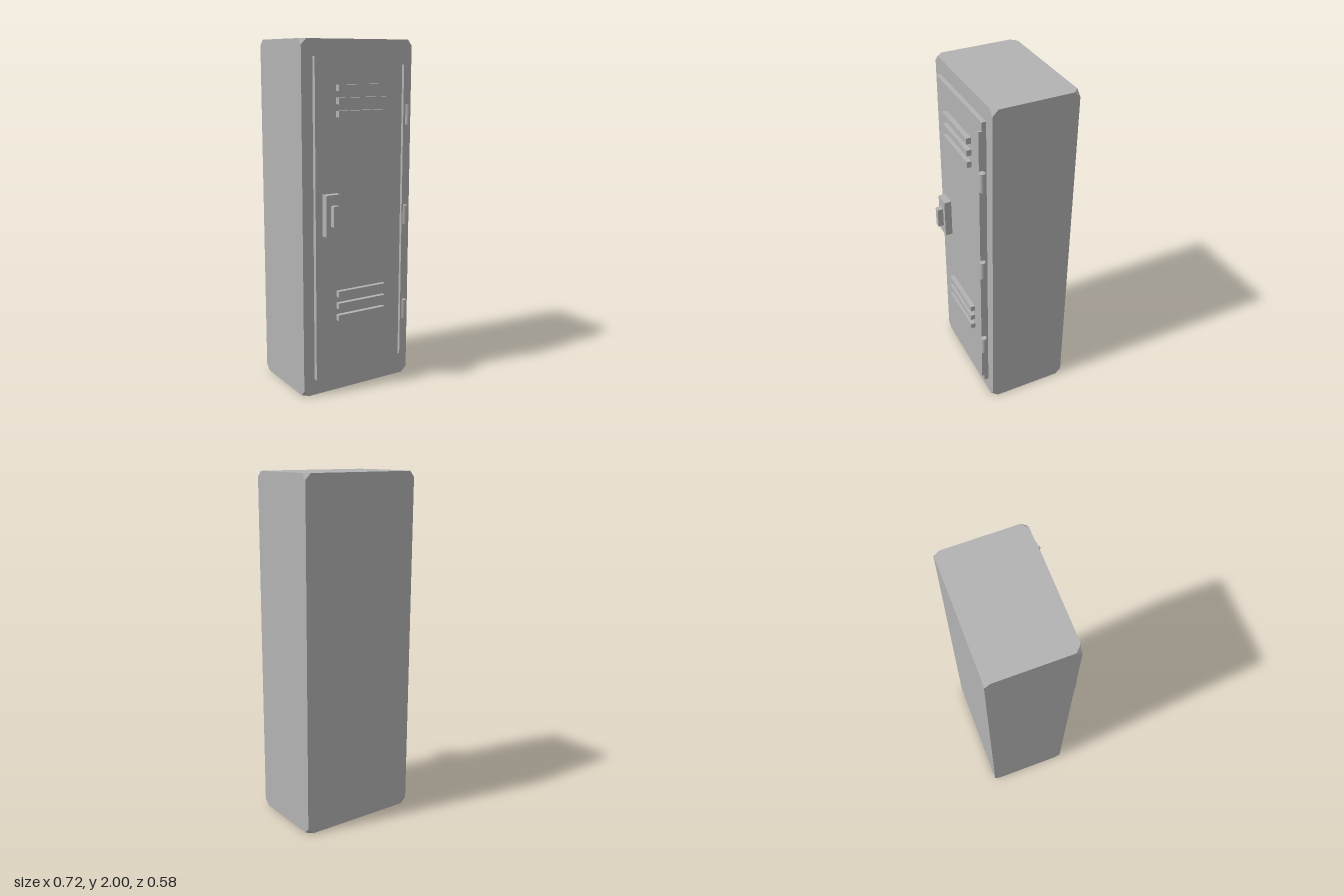
import * as THREE from 'three';
import { ConvexGeometry } from 'three/addons/geometries/ConvexGeometry.js';

// Box between two corners with its eight vertices cut off by a distance c
function cutCornerBox([x0, y0, z0], [x1, y1, z1], c) {
  const points = [];
  for (const [x, sx] of [[x0, 1], [x1, -1]])
    for (const [y, sy] of [[y0, 1], [y1, -1]])
      for (const [z, sz] of [[z0, 1], [z1, -1]])
        points.push(
          new THREE.Vector3(x + sx * c, y, z),
          new THREE.Vector3(x, y + sy * c, z),
          new THREE.Vector3(x, y, z + sz * c)
        );
  return new ConvexGeometry(points);
}

// Plain box between two corners
function box([x0, y0, z0], [x1, y1, z1]) {
  return new THREE.BoxGeometry(x1 - x0, y1 - y0, z1 - z0)
    .translate((x0 + x1) / 2, (y0 + y1) / 2, (z0 + z1) / 2);
}

export function createModel() {
  const locker = new THREE.Group();
  locker.name = 'locker';

  const steel = new THREE.MeshStandardMaterial({ color: 0xb3b3b3 });
  steel.name = 'grey steel';

  const add = (name, geometry) => {
    const mesh = new THREE.Mesh(geometry, steel);
    mesh.name = name;
    locker.add(mesh);
    return mesh;
  };

  // Cabinet and door panel
  add('cabinet', cutCornerBox([-0.358, 0, -0.29], [0.358, 2, 0.188], 0.033));
  add('door', cutCornerBox([-0.29, 0.095, 0.18], [0.288, 1.91, 0.213], 0.003));

  // Hinge strip along the door edge
  add('hingeStrip', box([0.276, 0.142, 0.205], [0.29, 1.862, 0.231]));

  // Three hinge barrels, slightly out of line
  for (const [x, y] of [[0.309, 1.583], [0.3, 1.003], [0.303, 0.425]])
    add('hinge', new THREE.CylinderGeometry(0.018, 0.018, 0.112, 20)).position.set(x, y, 0.223);

  // Two banks of three vent louvres
  for (const top of [1.76, 0.61])
    for (let i = 0; i < 3; i++) {
      const y = top - i * 0.07;
      add('ventLouvre', box([-0.159, y - 0.034, 0.205], [0.158, y, 0.24]));
    }

  // Latch plate and its grip
  add('latchPlate', cutCornerBox([-0.247, 0.937, 0.205], [-0.157, 1.17, 0.255], 0.005));
  add('latchGrip', cutCornerBox([-0.218, 0.995, 0.245], [-0.184, 1.112, 0.288], 0.003));

  return locker;
}
